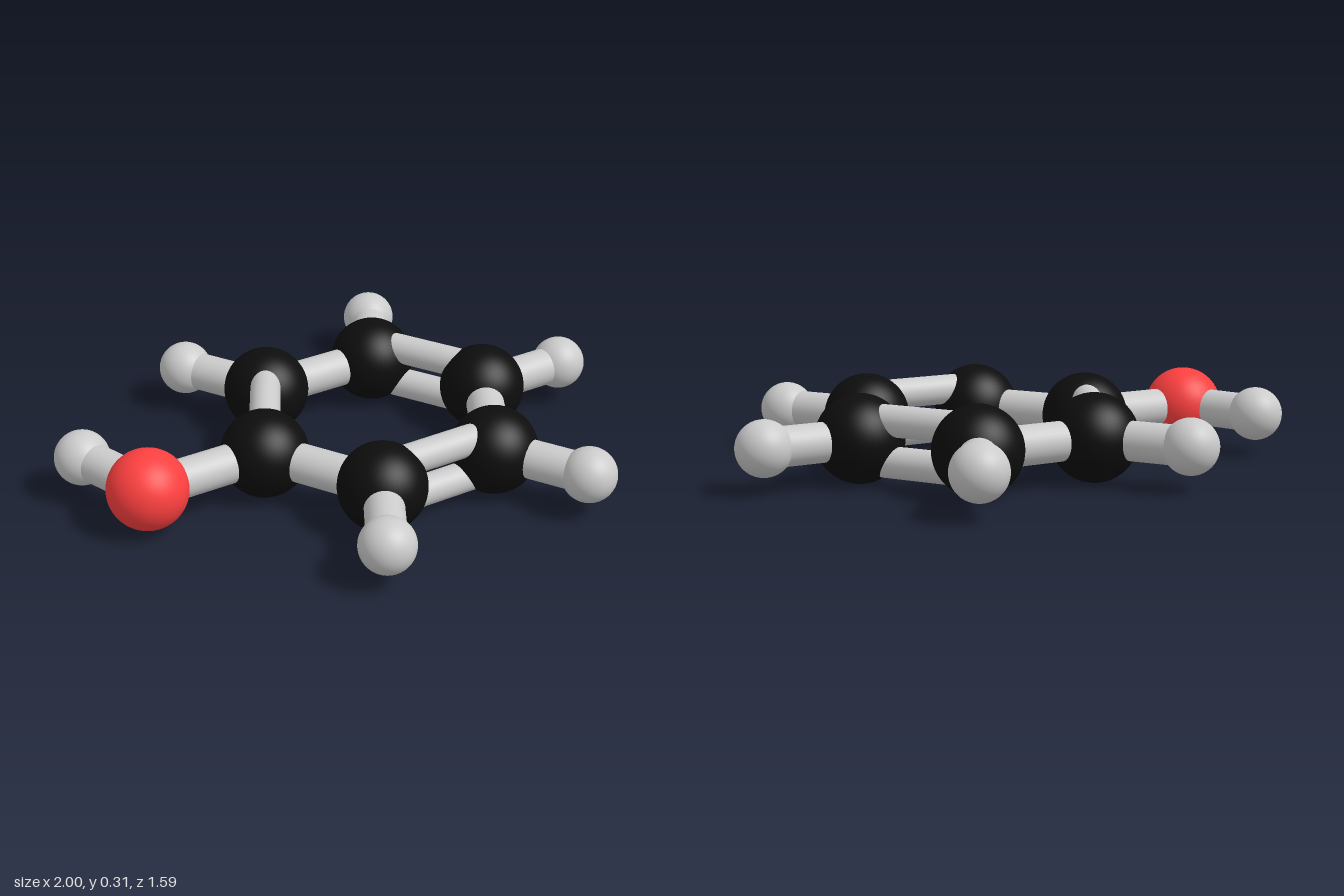
import * as THREE from 'three';

const Y = 0.153;          // height of the molecule's plane
const RING_X = 0.095;     // ring centre
const RING_R = 0.455;     // ring centre to carbon
const HYDROGEN_R = 0.805; // ring centre to outer hydrogens

const grey = new THREE.MeshStandardMaterial({ color: 0xcccccc });
const black = new THREE.MeshStandardMaterial({ color: 0x0d0d0d });
const red = new THREE.MeshStandardMaterial({ color: 0xff4040 });

export function createModel() {
  const model = new THREE.Group();
  model.name = 'ballAndStickMolecule';

  function atom(name, position, radius, material) {
    const ball = new THREE.Mesh(new THREE.SphereGeometry(radius, 48, 32), material);
    ball.name = name;
    ball.position.copy(position);
    model.add(ball);
  }

  // A stick from centre to centre, optionally shifted vertically
  function bond(name, a, b, radius = 0.068, lift = 0) {
    const dir = b.clone().sub(a);
    const stick = new THREE.Mesh(
      new THREE.CylinderGeometry(radius, radius, dir.length(), 32), grey);
    stick.name = name;
    stick.position.copy(a).add(b).multiplyScalar(0.5);
    stick.position.y += lift;
    stick.quaternion.setFromUnitVectors(new THREE.Vector3(0, 1, 0), dir.normalize());
    model.add(stick);
  }

  // Point around the ring, every 60 degrees, starting at +x and turning to +z
  const ringPoint = (i, r) => new THREE.Vector3(
    RING_X + r * Math.cos(i * Math.PI / 3), Y, r * Math.sin(i * Math.PI / 3));

  const oxygen = new THREE.Vector3(-0.804, Y, 0);
  const hydroxylHydrogen = new THREE.Vector3(-0.904, Y, -0.302);

  for (let i = 0; i < 6; i++) {
    const carbon = ringPoint(i, RING_R);
    const next = ringPoint(i + 1, RING_R);
    atom('carbon', carbon, 0.153, black);

    // Ring bonds alternate between single and double
    if (i % 2 === 1) {
      bond('doubleBondUpper', carbon, next, 0.054, 0.07);
      bond('doubleBondLower', carbon, next, 0.054, -0.07);
    } else {
      bond('singleBond', carbon, next);
    }

    // Outward bonds: oxygen at -x, hydrogen everywhere else
    if (i === 3) {
      bond('oxygenBond', carbon, oxygen);
    } else {
      const hydrogen = ringPoint(i, HYDROGEN_R);
      bond('hydrogenBond', carbon, hydrogen);
      atom('hydrogen', hydrogen, 0.096, grey);
    }
  }

  // Oxygen with its own hydrogen
  atom('oxygen', oxygen, 0.139, red);
  bond('hydroxylBond', oxygen, hydroxylHydrogen);
  atom('hydroxylHydrogen', hydroxylHydrogen, 0.096, grey);

  return model;
}
